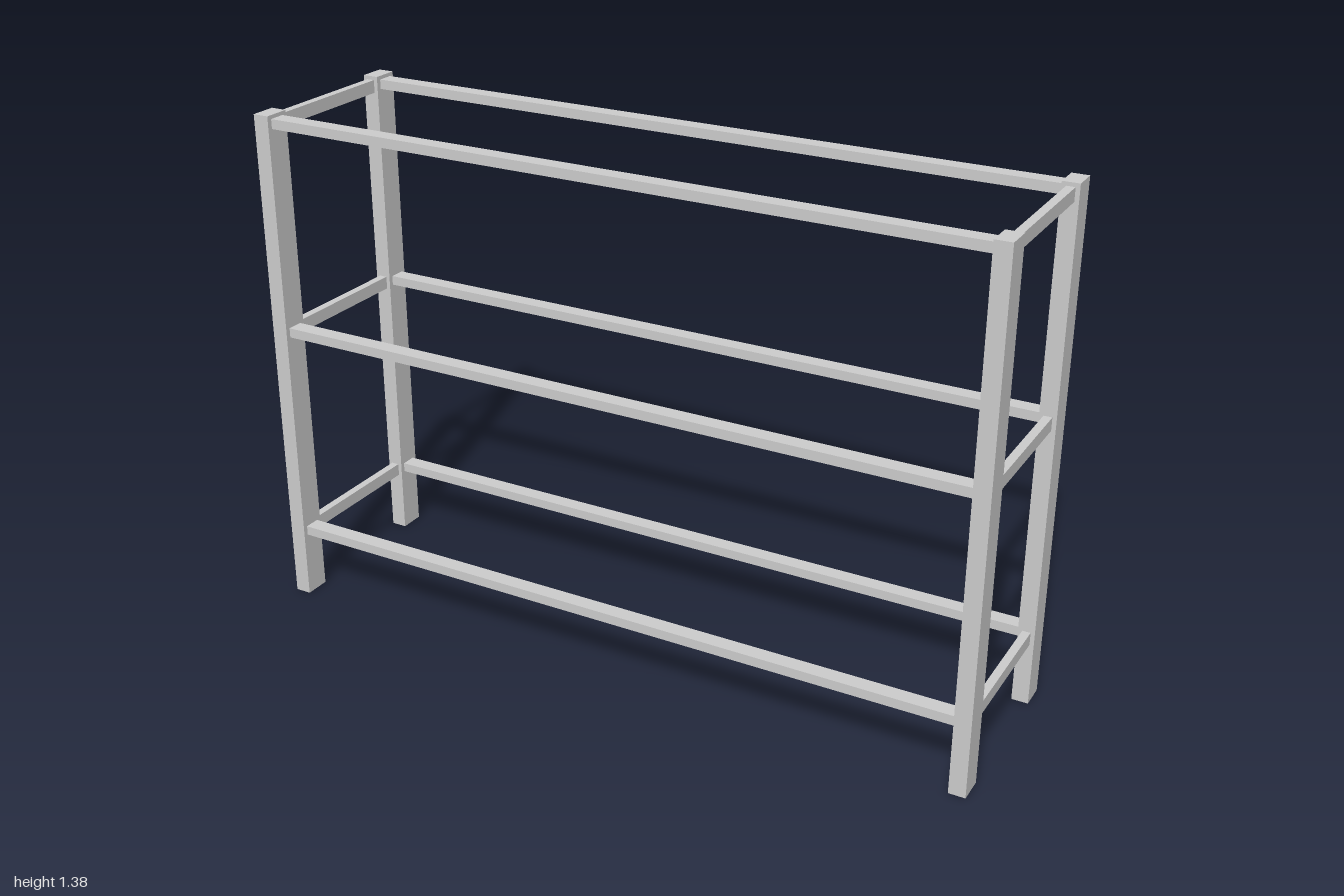
import * as THREE from 'three';

const HEIGHT = 1.383;
const LEG = { w: 0.044, d: 0.071, x: 0.978, z: 0.2275 };
const TIERS = [
  { name: 'lower', top: 0.207 },
  { name: 'middle', top: 0.803 },
  { name: 'upper', top: 1.373 },
];

const material = new THREE.MeshStandardMaterial({ color: 0xcccccc, flatShading: true });
const tubeMaterial = new THREE.MeshStandardMaterial({
  color: 0xcccccc, flatShading: true, side: THREE.DoubleSide,
});

// Hollow post: a box without its bottom face
function legGeometry() {
  const geometry = new THREE.BoxGeometry(LEG.w, HEIGHT, LEG.d);
  const index = Array.from(geometry.index.array);
  index.splice(18, 6);
  geometry.setIndex(index);
  geometry.clearGroups();
  return geometry;
}

export function createModel() {
  const model = new THREE.Group();
  model.name = 'rackFrame';

  const add = (name, geometry, mat, x, y, z) => {
    const mesh = new THREE.Mesh(geometry, mat);
    mesh.name = name;
    mesh.position.set(x, y, z);
    model.add(mesh);
  };

  // Four corner legs
  const leg = legGeometry();
  for (const [sideName, sx] of [['Left', 1], ['Right', -1]]) {
    for (const [endName, sz] of [['front', 1], ['back', -1]]) {
      add(`${endName}${sideName}Leg`, leg, tubeMaterial, sx * LEG.x, HEIGHT / 2, sz * LEG.z);
    }
  }

  // Rails run between the inner faces of the legs on each tier
  const longH = 0.026, sideH = 0.035;
  const longRail = new THREE.BoxGeometry(2 * LEG.x - LEG.w, longH, 0.044);
  const sideRail = new THREE.BoxGeometry(0.022, sideH, 2 * LEG.z - LEG.d);
  for (const { name, top } of TIERS) {
    for (const s of [1, -1]) {
      add(`${name}${s > 0 ? 'Front' : 'Back'}Rail`, longRail, material,
        0, top - longH / 2, s * LEG.z);
      add(`${name}${s > 0 ? 'Left' : 'Right'}Rail`, sideRail, material,
        s * LEG.x, top - sideH / 2, 0);
    }
  }

  return model;
}
